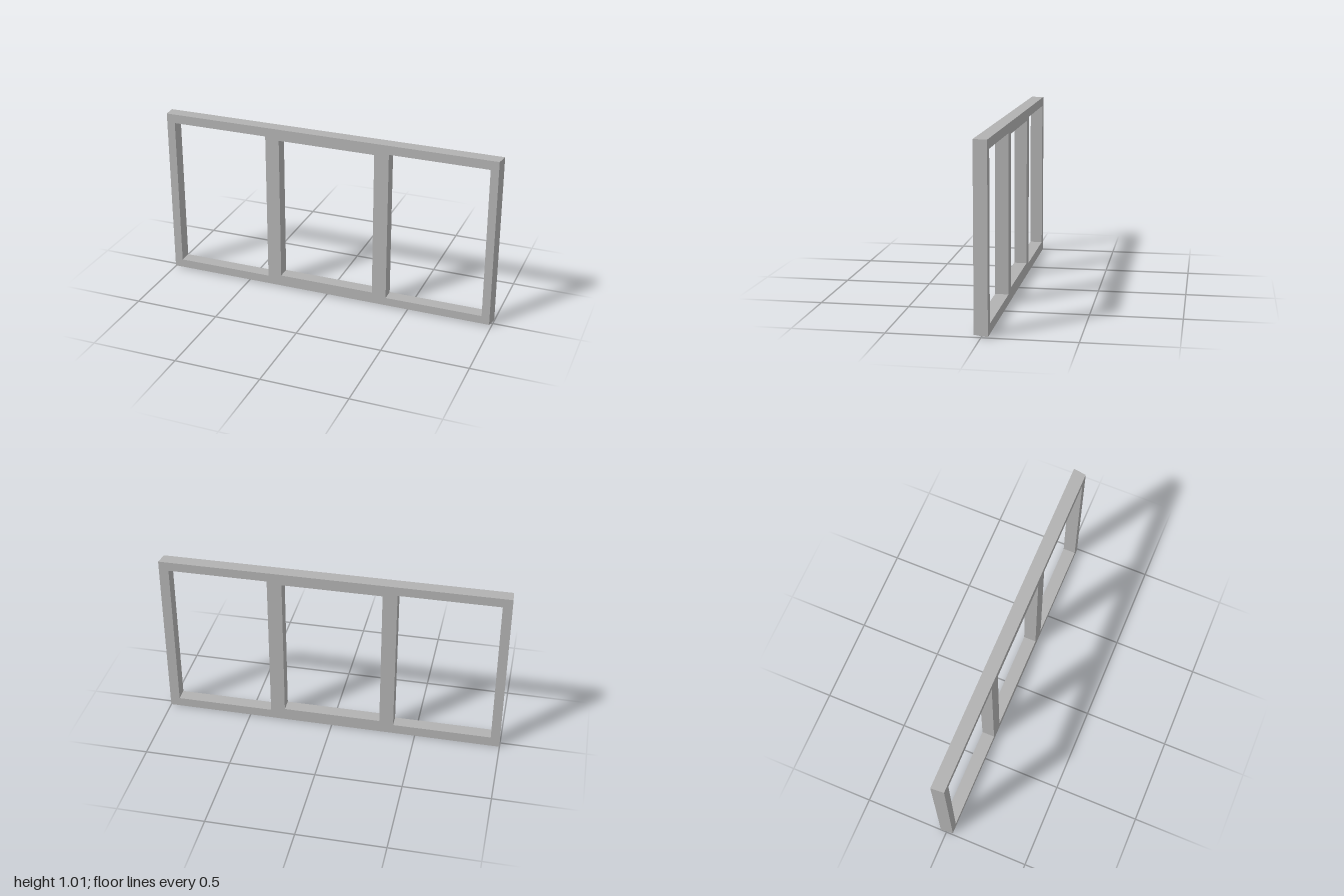
import * as THREE from 'three';

// Traces a rectangle on a Shape or Path
function rectangle(path, x0, x1, y0, y1) {
  path.moveTo(x0, y0);
  path.lineTo(x1, y0);
  path.lineTo(x1, y1);
  path.lineTo(x0, y1);
  path.closePath();
  return path;
}

export function createModel() {
  const group = new THREE.Group();
  group.name = 'windowFrame';

  const grey = new THREE.MeshStandardMaterial({ color: 0xb2b2b2 });
  grey.name = 'grey';

  // Frame outline with three openings; the middle one is slightly shorter
  const outline = rectangle(new THREE.Shape(), -0.994, 0.988, 0.01, 1.01);
  const openings = [
    [-0.945, -0.37, 0.06, 0.957],
    [-0.287, 0.285, 0.077, 0.943],
    [0.37, 0.942, 0.058, 0.957],
  ];
  for (const o of openings) outline.holes.push(rectangle(new THREE.Path(), ...o));

  const geometry = new THREE.ExtrudeGeometry(outline, { depth: 0.075, bevelEnabled: false });
  geometry.translate(0, 0, -0.036);

  // The back rim flares out a little at the sides and the foot
  const p = geometry.attributes.position;
  for (let i = 0; i < p.count; i++) {
    if (p.getZ(i) > 0) continue;
    if (Math.abs(p.getX(i)) > 0.97) p.setX(i, Math.sign(p.getX(i)) * 0.999);
    if (p.getY(i) < 0.03) p.setY(i, p.getX(i) < 0 ? 0 : 0.004);
  }
  geometry.computeVertexNormals();

  const frame = new THREE.Mesh(geometry, grey);
  frame.name = 'frame';
  group.add(frame);
  return group;
}
